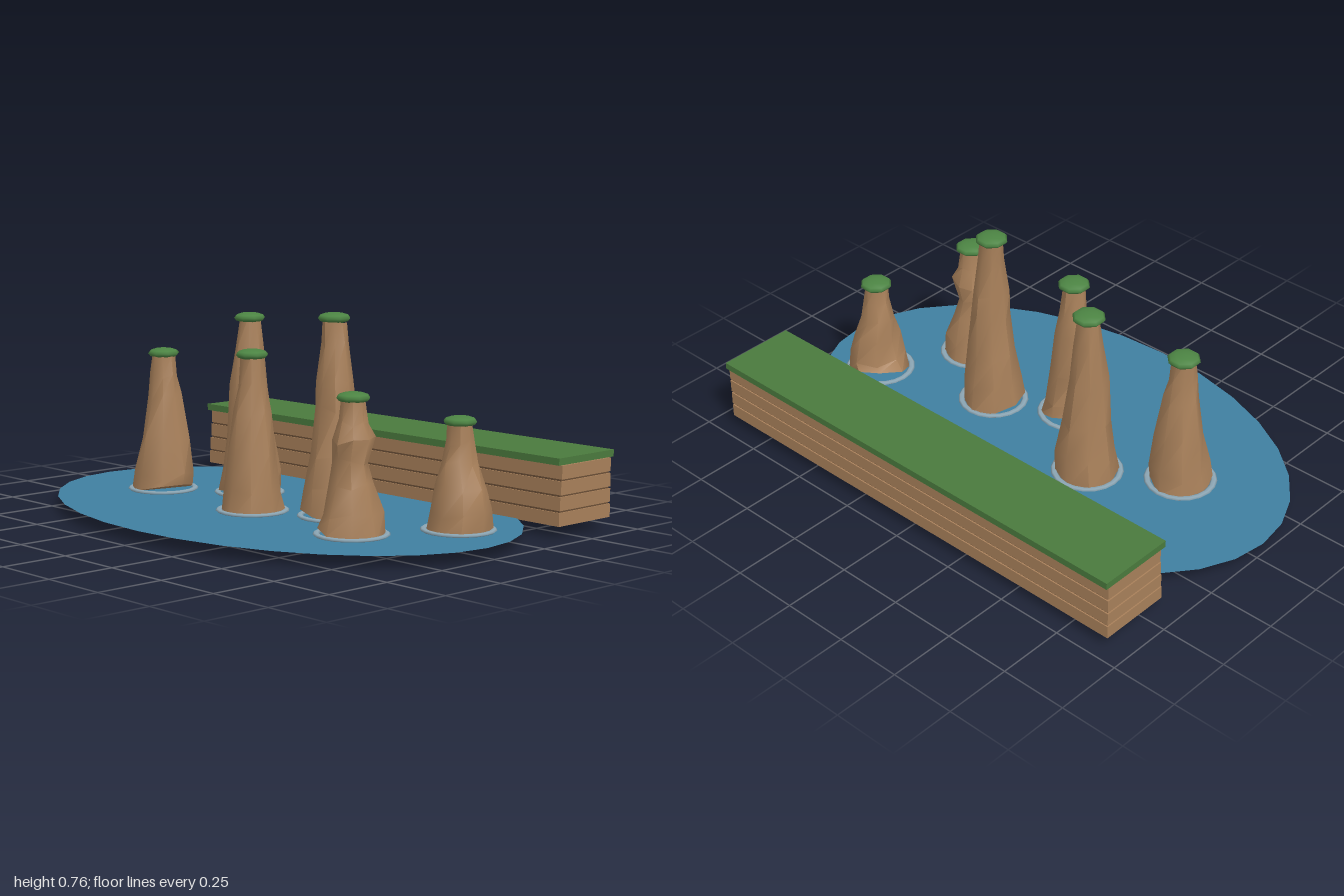
import * as THREE from 'three';
import { toCreasedNormals } from 'three/addons/utils/BufferGeometryUtils.js';

const mat = (name, color, side = THREE.FrontSide) => {
  const m = new THREE.MeshStandardMaterial({ color, side });
  m.name = name;
  return m;
};

// Each stack: centre, direction of the low side of its base, dip, cap height,
// and rows of [y, left x, right x] from the waterline up
const STACKS = [
  { x: -0.56, z: 0.12, low: 2.9, dip: 0.03, cap: 0.56,
    rows: [[0.11, -0.66, -0.44], [0.25, -0.635, -0.46], [0.4, -0.61, -0.485], [0.48, -0.6, -0.5], [0.56, -0.595, -0.51]] },
  { x: -0.28, z: -0.065, low: 1.9, dip: 0.02, cap: 0.7,
    rows: [[0.14, -0.38, -0.165], [0.27, -0.36, -0.185], [0.44, -0.35, -0.21], [0.59, -0.33, -0.225], [0.7, -0.315, -0.24]] },
  { x: 0, z: 0.17, low: -0.7, dip: 0.045, cap: 0.605,
    rows: [[0.12, -0.1, 0.105], [0.25, -0.085, 0.085], [0.4, -0.07, 0.065], [0.5, -0.05, 0.05], [0.6, -0.04, 0.038]] },
  { x: 0.275, z: 0.032, low: 0.5, dip: 0.025, cap: 0.745,
    rows: [[0.15, 0.17, 0.385], [0.27, 0.19, 0.365], [0.43, 0.21, 0.355], [0.53, 0.215, 0.345], [0.65, 0.23, 0.325], [0.74, 0.23, 0.315]] },
  { x: 0.55, z: 0.215, low: 0.4, dip: 0.025, cap: 0.512,
    rows: [[0.12, 0.45, 0.655], [0.22, 0.475, 0.625], [0.3, 0.485, 0.605], [0.37, 0.485, 0.63], [0.43, 0.505, 0.605], [0.51, 0.515, 0.597]] },
  { x: 0.74, z: -0.107, low: -0.8, dip: 0.045, cap: 0.42,
    rows: [[0.11, 0.65, 0.86], [0.2, 0.665, 0.84], [0.28, 0.675, 0.8], [0.35, 0.695, 0.79], [0.42, 0.7, 0.785]] },
];
const SIDES = 8;

// Craggy column lofted through rings, with a tilted closed base
function columnGeometry({ x, z, low, dip, rows }, seed) {
  const rings = [[0.045, x - 0.115, x + 0.115], ...rows];
  const pos = [], idx = [];
  rings.forEach(([y, x0, x1], j) => {
    const r = (x1 - x0) / 2, cx = (x0 + x1) / 2;
    for (let i = 0; i < SIDES; i++) {
      const a = (i / SIDES) * Math.PI * 2;
      const wobble = 1 + 0.05 * Math.sin(i * 2.4 + j * 1.7 + seed * 2.1);
      const tilt = j === 0 ? -dip * Math.cos(a + low) : 0.012 * Math.sin(i * 1.9 + j * 2.3 + seed);
      pos.push(cx + Math.cos(a) * r * wobble, y + tilt, z - Math.sin(a) * -r * wobble);
    }
  });
  for (let j = 0; j < rings.length - 1; j++)
    for (let i = 0; i < SIDES; i++) {
      const a = j * SIDES + i, b = j * SIDES + (i + 1) % SIDES;
      idx.push(a, a + SIDES, b, b, a + SIDES, b + SIDES);
    }
  const centre = pos.length / 3;
  pos.push(x, 0.045, z);
  for (let i = 0; i < SIDES; i++) idx.push(centre, i, (i + 1) % SIDES);
  const g = new THREE.BufferGeometry();
  g.setAttribute('position', new THREE.Float32BufferAttribute(pos, 3));
  g.setIndex(idx);
  return toCreasedNormals(g, 0.85);
}

export function createModel() {
  const group = new THREE.Group();
  const rock = mat('sandstone', 0xa8805a);
  const seam = mat('dark seam', 0x6b4f36);
  const grass = mat('grass', 0x4a7a3d);
  const bush = mat('bush green', 0x4c8443);
  const sea = mat('sea water', 0x3f7fa0, THREE.DoubleSide);
  const foam = mat('foam', 0x8ca6b4);

  const add = (parent, name, geometry, material, x, y, z) => {
    const m = new THREE.Mesh(geometry, material);
    m.name = name;
    m.position.set(x, y, z);
    parent.add(m);
    return m;
  };

  // Sea: flat ellipse
  const disc = new THREE.CircleGeometry(1, 32).rotateX(-Math.PI / 2).scale(1, 1, 0.665);
  add(group, 'sea', disc, sea, 0, 0.043, 0.032);

  // Layered cliff with a grass top
  const cliff = new THREE.Group();
  cliff.name = 'cliff';
  group.add(cliff);
  for (let i = 0; i < 4; i++) {
    const front = -0.419 - i * 0.004, back = -0.693;
    const depth = front - back, mid = (front + back) / 2, y = 0.04 + i * 0.0545;
    add(cliff, 'cliffLayer', new THREE.BoxGeometry(1.84, 0.048, depth), rock, 0, y + 0.024, mid);
    if (i < 3)
      add(cliff, 'cliffSeam', new THREE.BoxGeometry(1.83, 0.0065, depth - 0.01), seam, 0, y + 0.05125, mid);
  }
  add(cliff, 'grassTop', new THREE.BoxGeometry(1.845, 0.025, 0.294), grass, 0, 0.267, -0.558);

  // Sea stacks, each with a foam ring and a bushy cap
  const ring = new THREE.TorusGeometry(0.12, 0.012, 6, 20).rotateX(Math.PI / 2).scale(1, 0.5, 1);
  const cap = new THREE.SphereGeometry(0.06, 8, 6).scale(1, 0.33, 1);
  STACKS.forEach((s, i) => {
    const stack = new THREE.Group();
    stack.name = 'seaStack';
    group.add(stack);
    add(stack, 'rockColumn', columnGeometry(s, i), rock, 0, 0, 0);
    add(stack, 'foamRing', ring, foam, s.x, 0.049, s.z);
    const [, x0, x1] = s.rows[s.rows.length - 1];
    add(stack, 'bushCap', cap, bush, (x0 + x1) / 2, s.cap, s.z).rotation.y = Math.PI / 8;
  });
  return group;
}
